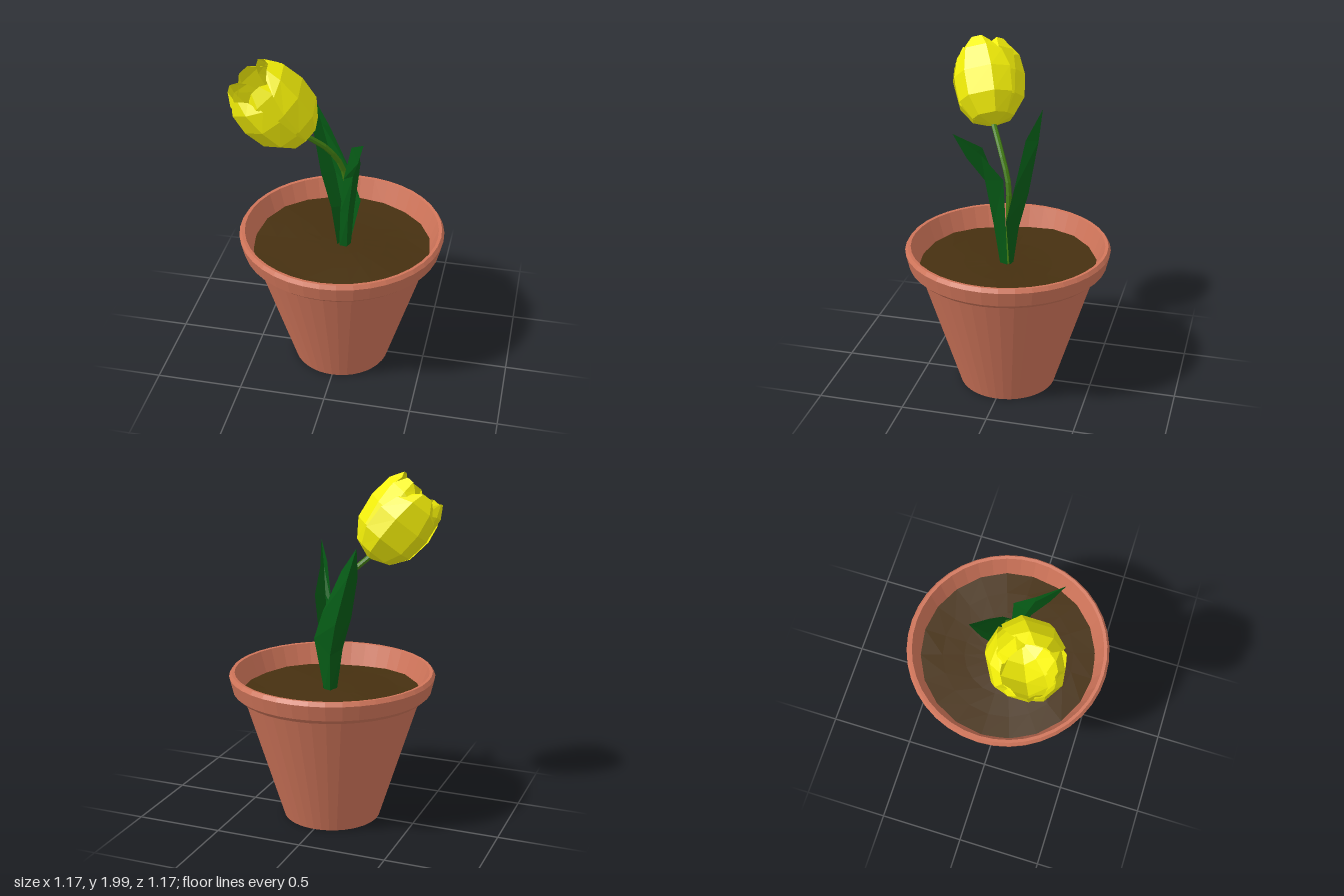
import * as THREE from 'three';

const mat = (color) => new THREE.MeshStandardMaterial({ color, flatShading: true, side: THREE.DoubleSide });
const V = (x, y, z) => new THREE.Vector3(x, y, z);

// Surface through equal-length rows of points
function gridSurface(rows) {
  const n = rows[0].length, index = [];
  for (let i = 0; i < rows.length - 1; i++)
    for (let j = 0; j < n - 1; j++) {
      const a = i * n + j, b = a + n;
      index.push(a, b, a + 1, b, b + 1, a + 1);
    }
  const g = new THREE.BufferGeometry().setFromPoints(rows.flat());
  g.setIndex(index);
  g.computeVertexNormals();
  return g;
}

function add(parent, name, geometry, material) {
  const mesh = new THREE.Mesh(geometry, material);
  mesh.name = name;
  parent.add(mesh);
}

export function createModel() {
  const model = new THREE.Group();
  model.name = 'pottedTulip';
  const clay = mat(0xd0755a), earth = mat(0x463010), leafGreen = mat(0x065c16);
  const stemGreen = mat(0x417c12), yellow = mat(0xf4f008);

  // Pot: tapered body, stepped rim, inner wall
  const profile = [[0, 0], [0.28, 0], [0.51, 0.74], [0.54, 0.74], [0.567, 0.765], [0.587, 0.85],
    [0.573, 0.872], [0.555, 0.87], [0.505, 0.73]].map(([x, y]) => new THREE.Vector2(x, y));
  add(model, 'pot', new THREE.LatheGeometry(profile, 40), clay);

  // Soil: uneven disc
  const soil = new THREE.RingGeometry(0.001, 0.512, 20, 4).rotateX(-Math.PI / 2);
  const p = soil.attributes.position;
  for (let i = 0; i < p.count; i++) {
    const x = p.getX(i), z = p.getZ(i);
    p.setY(i, 0.752 + 0.014 * Math.sin(5 * x + 1) * Math.cos(7 * z - 1));
  }
  add(model, 'soil', soil, earth);

  // Stem: bends towards the flower
  const base = V(-0.18, 1.52, 0.13);
  const stemPath = new THREE.CatmullRomCurve3([V(0.02, 0.74, -0.01), V(0.025, 1.05, -0.01),
    V(0.01, 1.24, -0.005), V(-0.06, 1.4, 0.055), base.clone()]);
  add(model, 'stem', new THREE.TubeGeometry(stemPath, 12, 0.016, 7), stemGreen);

  // Leaves: each row is edge, centre crease, edge
  const leaves = {
    frontLeaf: [
      [V(0.05, 0.74, -0.01), V(0.035, 0.74, 0.035), V(-0.01, 0.74, 0.025)],
      [V(0.07, 1.0, -0.005), V(0.05, 1.0, 0.07), V(0, 1.0, 0.045)],
      [V(0.105, 1.3, 0), V(0.085, 1.28, 0.11), V(0.02, 1.22, 0.05)],
      [V(0.12, 1.44, 0.12), V(0.13, 1.42, 0.2), V(0.08, 1.47, 0.125)],
      [V(0.172, 1.57, 0.265), V(0.172, 1.57, 0.265), V(0.172, 1.57, 0.265)]],
    backLeaf: [
      [V(-0.02, 0.74, 0.02), V(0, 0.74, -0.03), V(0.04, 0.74, -0.02)],
      [V(-0.06, 1.0, 0.01), V(-0.01, 0.97, -0.06), V(0.105, 1.05, -0.015)],
      [V(-0.125, 1.2, -0.025), V(-0.06, 1.17, -0.105), V(0.04, 1.22, -0.045)],
      [V(-0.185, 1.45, -0.09), V(-0.145, 1.45, -0.14), V(-0.085, 1.47, -0.08)],
      [V(-0.2, 1.62, -0.15), V(-0.2, 1.62, -0.15), V(-0.2, 1.62, -0.15)]],
  };
  for (const [name, rows] of Object.entries(leaves)) add(model, name, gridSurface(rows), leafGreen);

  // Flower: three outer and three inner cupped petals around a tilted axis
  const flower = new THREE.Group();
  flower.name = 'flower';
  flower.position.copy(base);
  flower.quaternion.setFromUnitVectors(V(0, 1, 0), V(-0.56, 0.78, 0.26).normalize());
  model.add(flower);
  // Per row: height, radius, half width in radians
  const petalRows = [[-0.01, 0.02, 1.05], [0.03, 0.12, 1.05], [0.13, 0.19, 1.0],
    [0.27, 0.208, 0.95], [0.4, 0.19, 0.8], [0.47, 0.145, 0.5]];
  const across = [-1, -0.4, 0.4, 1];
  for (let k = 0; k < 6; k++) {
    const inner = k % 2, angle = k * Math.PI / 3;
    const scale = inner ? 0.93 : 1.02, tall = [1.02, 0.97, 0.97, 1.0, 0.97, 1.0][k];
    const rows = petalRows.map(([h, r, w], i) => across.map((u) => {
      const a = angle + u * w, edge = Math.abs(u) === 1;
      const rad = r * scale * (edge ? 0.96 : 1), drop = edge && i > 3 ? 0.03 : 0;
      return V(rad * Math.cos(a), h * tall - drop, rad * Math.sin(a));
    }));
    add(flower, inner ? 'innerPetal' : 'outerPetal', gridSurface(rows), yellow);
  }
  return model;
}
